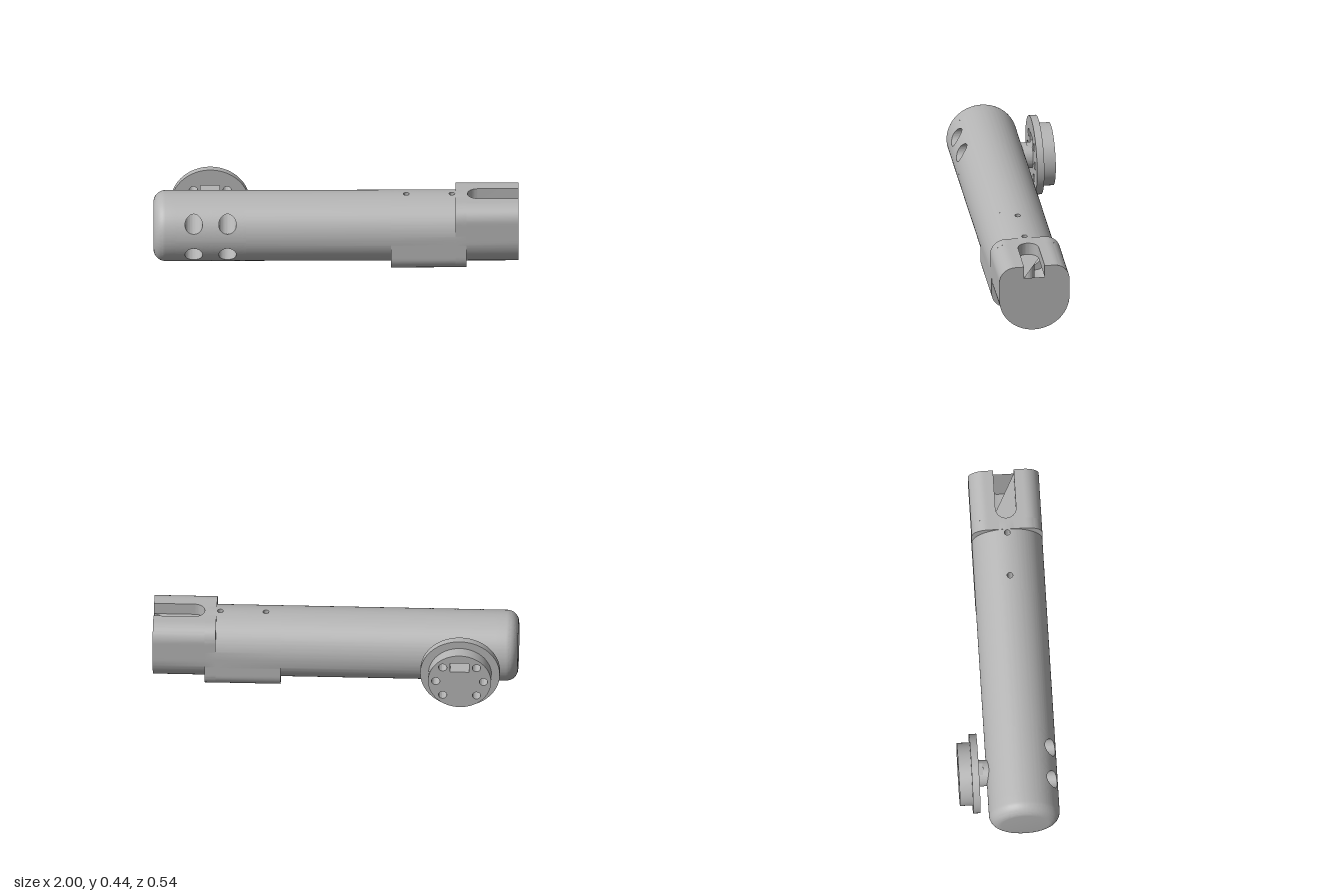
import * as THREE from 'three';
import { mergeGeometries, toCreasedNormals } from 'three/addons/utils/BufferGeometryUtils.js';

const CY = 0.22, CZ = 0.0775;         // axis of the body
const H = 0.194, RC = 0.087;          // body radius, corner radius of the square section
const PI = Math.PI, TOP = PI / 2, BOTTOM = 3 * PI / 2;
const lerp = THREE.MathUtils.lerp;

// Radius of each section by angle (0 = front, PI/2 = top)
const round = () => H;
function square(a) {
  const c = Math.abs(Math.cos(a)), s = Math.abs(Math.sin(a)), q = H - RC;
  const m = Math.max(c, s), n = Math.min(c, s);
  if (n / m * H <= q) return H / m;
  const b = q * (c + s);
  return b + Math.sqrt(b * b - 2 * q * q + RC * RC);
}
const polar = (x, r, a) => [x, CY + r * Math.sin(a), CZ + r * Math.cos(a)];
// Point at height d along direction a and sideways offset w
const local = (x, d, w, a) => [x, CY + d * Math.sin(a) + w * Math.cos(a), CZ + d * Math.cos(a) - w * Math.sin(a)];

// Surface patch; its front is the side of (u direction) x (v direction)
function grid(nu, nv, fn) {
  const pos = [], idx = [];
  for (let i = 0; i <= nu; i++) for (let j = 0; j <= nv; j++) pos.push(...fn(i / nu, j / nv));
  for (let i = 0; i < nu; i++) for (let j = 0; j < nv; j++) {
    const a = i * (nv + 1) + j, b = a + nv + 1;
    idx.push(a, b, b + 1, a, b + 1, a + 1);
  }
  const g = new THREE.BufferGeometry();
  g.setAttribute('position', new THREE.Float32BufferAttribute(pos, 3));
  g.setIndex(idx);
  return g.toNonIndexed();
}

const tile = (sec, x0, x1, a0, a1) => grid(1, Math.ceil((a1 - a0) / 0.04),
  (u, v) => { const a = lerp(a0, a1, v); return polar(lerp(x0, x1, u), sec(a), a); });

// Tube wall of a hole; top is a height or a function of the sideways offset
const wall = (hx, hw, r, dir, top, bottom) => grid(48, 1, (u, v) => {
  const t = u * 2 * PI, w = hw + r * Math.sin(t);
  return local(hx + r * Math.cos(t), v ? bottom : typeof top === 'number' ? top : top(w), w, dir);
});
const ring = (hx, hw, r0, r1, dir, d) => grid(1, 48, (u, v) => {
  const t = v * 2 * PI, r = lerp(r0, r1, u);
  return local(hx + r * Math.cos(t), d, hw + r * Math.sin(t), dir);
});

// Rectangular piece of skin with one round hole and its wall
function holed(sec, x0, x1, a0, a1, dir, hx, hw, r, bottom) {
  const toAngle = w => dir + (sec === square ? Math.atan(w / H) : Math.asin(w / H));
  const skin = grid(6, 64, (u, v) => {
    const t = v * 2 * PI, c = Math.cos(t), s = Math.sin(t), m = Math.max(Math.abs(c), Math.abs(s));
    const x = lerp(hx + r * c, (x0 + x1) / 2 + c / m * (x1 - x0) / 2, u);
    const a = lerp(toAngle(hw + r * s), (a0 + a1) / 2 + s / m * (a1 - a0) / 2, u);
    return polar(x, sec(a), a);
  });
  const top = w => sec === square ? H : Math.sqrt(H * H - w * w);
  return [skin, wall(hx, hw, r, dir, top, bottom)];
}

// Flat step between two sections at one x, facing -x when r0 is the smaller
const step = (x, r0, r1, a0, a1) => grid(1, 80, (u, v) => {
  const a = lerp(a0, a1, v);
  return polar(x, lerp(r0(a), r1(a), u), a);
});

function bodyGeometry() {
  const g = [];
  // Rounded closed end
  const F = 0.065;
  g.push(grid(13, 158, (u, v) => {
    const p = Math.max(0, (u * 13 - 1) / 12) * TOP;
    return polar(-1 + F * (1 - Math.cos(p)), u === 0 ? 0 : H - F + F * Math.sin(p), v * 2 * PI);
  }));
  // Round barrel with four blind holes in front
  g.push(tile(round, -1 + F, -0.88, 0, 2 * PI), tile(round, -0.495, 0.30, 0, 2 * PI));
  for (const [x0, x1, hx] of [[-0.88, -0.6875, -0.78], [-0.6875, -0.495, -0.595]]) {
    g.push(tile(round, x0, x1, -0.1, 0.1), tile(round, x0, x1, 1, 2 * PI - 1));
    for (const s of [-1, 1]) {
      g.push(...holed(round, x0, x1, s > 0 ? 0.1 : -1, s > 0 ? 1 : -0.1, 0, hx, s * 0.0925, 0.048, -0.08));
      g.push(ring(hx, s * 0.0925, 0, 0.048, 0, -0.08));
    }
  }
  // Collar, round above and square below, with two pin holes right through
  for (const [sec, dir] of [[round, TOP], [square, BOTTOM]]) {
    g.push(tile(sec, 0.30, 0.655, dir - TOP, dir - 0.25), tile(sec, 0.30, 0.655, dir + 0.25, dir + TOP));
    g.push(...holed(sec, 0.30, 0.47, dir - 0.25, dir + 0.25, dir, 0.385, 0, 0.016, 0));
    g.push(...holed(sec, 0.47, 0.655, dir - 0.25, dir + 0.25, dir, 0.635, 0, 0.016, 0));
  }
  g.push(step(0.30, round, square, PI, 2 * PI), step(0.655, round, square, 0, PI));
  g.push(tile(square, 0.655, 0.715, 0, 2 * PI), step(0.715, square, round, PI, 2 * PI));

  // Tongue end, square above and round below, with a counterbored hole
  const W = 0.057, FLOOR = 0.125, SX = 0.777, sa = Math.atan(W / H);
  g.push(tile(square, 0.715, 1, 0, TOP - sa), tile(square, 0.715, 1, TOP + sa, PI));
  g.push(tile(round, 0.715, 1, PI, BOTTOM - 0.5), tile(round, 0.715, 1, BOTTOM + 0.5, 2 * PI));
  g.push(...holed(round, 0.715, 1, BOTTOM - 0.5, BOTTOM + 0.5, BOTTOM, 0.822, 0, 0.05, 0.1));
  g.push(ring(0.822, 0, 0.026, 0.05, BOTTOM, 0.1), wall(0.822, 0, 0.026, BOTTOM, 0.1, -FLOOR));
  // Open slot on top
  g.push(grid(1, 24, (u, v) => {
    const t = PI / 2 + (1 - v) * PI;
    return local(lerp(0.715, SX + W * Math.cos(t), u), H, W * Math.sin(t), TOP);
  }));
  g.push(grid(26, 1, (u, v) => {
    const k = Math.round(u * 26), t = TOP + THREE.MathUtils.clamp(k - 1, 0, 24) / 24 * PI;
    return local(k === 0 || k === 26 ? 1 : SX + W * Math.cos(t), v ? FLOOR : H, W * Math.sin(t), TOP);
  }));
  const floor = new THREE.Shape().moveTo(1, W).absarc(SX, 0, W, TOP, BOTTOM, false).lineTo(1, -W);
  floor.holes.push(new THREE.Path().absarc(0.822, 0, 0.026, 0, 2 * PI, true));
  g.push(new THREE.ShapeGeometry(floor, 24).rotateX(-TOP).translate(0, CY + FLOOR, CZ));
  // End face with the slot notch
  const pts = [];
  for (let i = 0; i <= 160; i++) {
    const a = lerp(TOP + sa, TOP + 2 * PI - sa, i / 160), s = Math.sin(a) < 0 ? round : square;
    pts.push(new THREE.Vector2(-s(a) * Math.cos(a), s(a) * Math.sin(a)));
  }
  pts.push(new THREE.Vector2(-W, FLOOR), new THREE.Vector2(W, FLOOR));
  g.push(new THREE.ShapeGeometry(new THREE.Shape(pts)).rotateY(TOP).translate(1, CY, CZ));

  return toCreasedNormals(mergeGeometries(g.map(p => {
    const q = p.index ? p.toNonIndexed() : p;
    q.deleteAttribute('uv');
    q.deleteAttribute('normal');
    return q;
  })), 0.3);
}

// Disc with six bolt holes and a slot
function boltedDisc(r) {
  const s = new THREE.Shape().absarc(0, 0, r, 0, 2 * PI, false);
  for (const deg of [0, 45, 135, 180, 225, 315]) {
    const a = deg * PI / 180;
    s.holes.push(new THREE.Path().absarc(0.131 * Math.cos(a), 0.131 * Math.sin(a), 0.023, 0, 2 * PI, true));
  }
  s.holes.push(new THREE.Path().moveTo(-0.052, 0.064).lineTo(-0.052, 0.122).lineTo(0.052, 0.122).lineTo(0.052, 0.064));
  return s;
}

export function createModel() {
  const group = new THREE.Group();
  const metal = new THREE.MeshStandardMaterial({ color: 0xb4b4b4, side: THREE.DoubleSide });
  metal.name = 'grey metal';
  const add = (name, geo) => {
    const m = new THREE.Mesh(geo, metal);
    m.name = name;
    group.add(m);
  };
  add('body', bodyGeometry());

  // Rear mount: neck, neck with slot flat, flange and hub
  const extrude = (name, shape, z0, z1) => add(name, toCreasedNormals(
    new THREE.ExtrudeGeometry(shape, { depth: z1 - z0, bevelEnabled: false, curveSegments: 48 })
      .translate(-0.688, CY, z0), 0.5));
  const cut = Math.asin(0.064 / 0.072);
  extrude('neck', new THREE.Shape().absarc(0, 0, 0.072, 0, 2 * PI, false), -0.135, -0.09);
  extrude('neckFlat', new THREE.Shape().absarc(0, 0, 0.072, PI - cut, 2 * PI + cut, false), -0.16, -0.135);
  extrude('flange', boltedDisc(0.218), -0.20, -0.16);
  extrude('hub', boltedDisc(0.173), -0.27, -0.20);
  return group;
}
